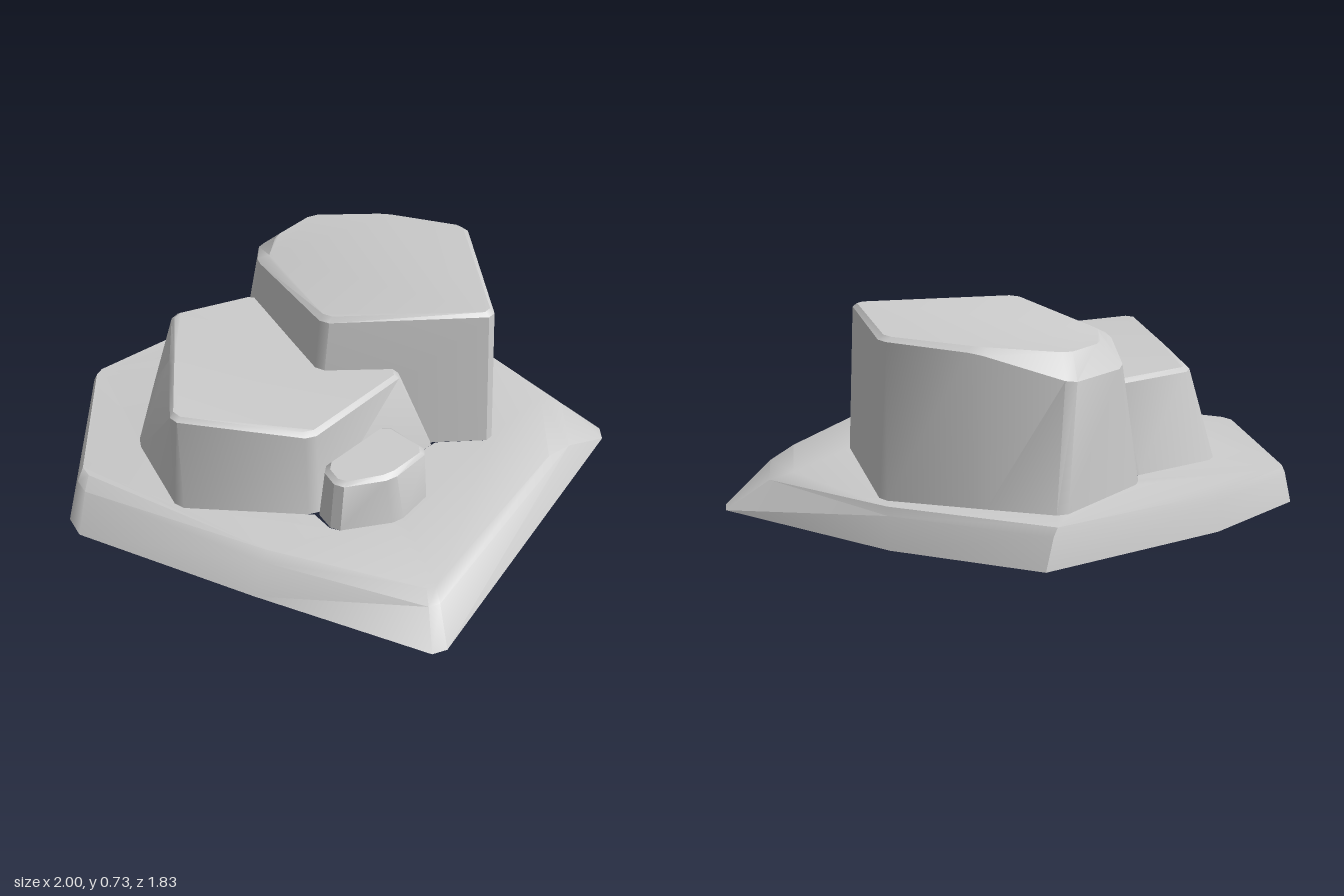
import * as THREE from 'three';
import { toCreasedNormals } from 'three/addons/utils/BufferGeometryUtils.js';

const GROUND = 0.15;
const WEAR = 0.025;
const material = new THREE.MeshStandardMaterial({ color: 0xcccccc, side: THREE.DoubleSide });

// Replace each corner of a ring of [x, y, z] points with a narrow edge; listed corners stay sharp.
function chamfer(ring, sharp = []) {
  const n = ring.length;
  return ring.flatMap((p, i) => {
    if (sharp.includes(i)) return [p];
    return [ring[(i + n - 1) % n], ring[(i + 1) % n]].map((q) => {
      const t = Math.min(0.3, WEAR / Math.hypot(q[0] - p[0], q[2] - p[2]));
      return p.map((v, k) => v + (q[k] - v) * t);
    });
  });
}

// Join equal rings (bottom first) with walls and close the top, around an optional hole.
function loft(name, rings, hole = []) {
  const n = rings[0].length, index = [];
  for (let r = 0; r < rings.length - 1; r++) {
    for (let i = 0; i < n; i++) {
      const a = r * n + i, b = r * n + (i + 1) % n;
      index.push(a, b, b + n, a, b + n, a + n);
    }
  }
  const flat = (ring) => ring.map((p) => new THREE.Vector2(p[0], -p[2]));
  const first = (rings.length - 1) * n;
  const holes = hole.length ? [flat(hole)] : [];
  for (const face of THREE.ShapeUtils.triangulateShape(flat(rings[rings.length - 1]), holes)) {
    index.push(...face.map((k) => k + first));
  }
  const geometry = new THREE.BufferGeometry();
  geometry.setAttribute('position', new THREE.Float32BufferAttribute([...rings, hole].flat(2), 3));
  geometry.setIndex(index);
  const mesh = new THREE.Mesh(toCreasedNormals(geometry, 0.6), material);
  mesh.name = name;
  return mesh;
}

const atGround = (points) => points.map(([x, z]) => [x, GROUND, z]);

// Shrink a shoulder ring slightly and lift it to form the lid.
function lidOf(shoulder) {
  const n = shoulder.length;
  const cx = shoulder.reduce((s, p) => s + p[0], 0) / n;
  const cz = shoulder.reduce((s, p) => s + p[2], 0) / n;
  return shoulder.map(([x, y, z]) => {
    const k = 1 - 0.02 / Math.hypot(x - cx, z - cz);
    return [cx + (x - cx) * k, y + 0.015, cz + (z - cz) * k];
  });
}

// A boulder: footprint, shoulder and lid, with worn edges.
function boulder(name, foot, shoulder, lid = lidOf(shoulder)) {
  return loft(name, [atGround(foot), shoulder, lid].map((ring) => chamfer(ring)));
}

export function createModel() {
  const group = new THREE.Group();
  group.name = 'rockFormation';

  // Tall boulder at the back
  const tallFoot = [[-0.59, -0.25], [-0.52, -0.16], [0.06, 0.11], [0.60, -0.36], [0.13, -0.85], [-0.22, -0.77], [-0.51, -0.70]];
  group.add(boulder('tallRock', tallFoot,
    [[-0.57, 0.60, -0.36], [-0.43, 0.67, -0.18], [0.07, 0.71, 0.05], [0.56, 0.715, -0.37],
      [0.13, 0.715, -0.835], [-0.20, 0.69, -0.75], [-0.51, 0.60, -0.64]],
    [[-0.48, 0.68, -0.36], [-0.39, 0.69, -0.20], [0.07, 0.73, 0.03], [0.54, 0.73, -0.37],
      [0.12, 0.73, -0.815], [-0.20, 0.71, -0.73], [-0.46, 0.685, -0.57]]));

  // Middle boulder at the front
  const midFoot = [[-0.72, 0.15], [-0.49, 0.50], [-0.12, 0.69], [0.31, 0.41], [0.43, -0.21], [-0.54, -0.185]];
  group.add(boulder('middleRock', midFoot,
    [[-0.63, 0.49, 0.12], [-0.40, 0.515, 0.39], [-0.14, 0.54, 0.675], [0.29, 0.495, 0.40],
      [0.325, 0.485, -0.12], [-0.46, 0.485, -0.19]]));

  // Small stone beside the middle boulder
  const smallFoot = [[0.30, 0.39], [0.42, 0.44], [0.58, 0.25], [0.58, 0.05], [0.34, 0.01]];
  group.add(boulder('smallRock', smallFoot,
    [[0.31, 0.345, 0.37], [0.42, 0.345, 0.42], [0.55, 0.345, 0.26], [0.565, 0.345, 0.05], [0.35, 0.345, 0.02]]));

  // Base slab, open underneath, with its top cut out below the rocks (sharp where two rocks meet)
  const hole = chamfer(atGround([...midFoot.slice(0, 4), ...smallFoot.slice(1, 4), [0.39, 0.01],
    midFoot[4], ...tallFoot.slice(3), tallFoot[0], midFoot[5]]), [3, 7, 8, 14]);
  const bottom = [[-1, 0.23], [-0.98, 0.28], [-0.52, 0.87], [-0.43, 0.91], [0.30, 0.76], [0.97, 0.60], [1, 0.55],
    [0.86, -0.80], [0.82, -0.85], [0.05, -0.92], [-0.52, -0.85], [-0.88, -0.21]].map(([x, z]) => [x, 0, z]);
  const top = [[-0.96, 0.13, 0.22], [-0.95, 0.13, 0.26], [-0.57, 0.14, 0.73], [-0.52, 0.14, 0.75], [0.28, 0.145, 0.66],
    [0.85, 0.145, 0.47], [0.87, 0.145, 0.44], [0.82, 0.14, -0.42], [0.60, 0.145, -0.72], [0.08, 0.145, -0.885],
    [-0.53, 0.14, -0.785], [-0.86, 0.135, -0.19]];
  const rim = bottom.map((p, i) => [
    THREE.MathUtils.lerp(p[0], top[i][0], 0.65), top[i][1] * 0.8, THREE.MathUtils.lerp(p[2], top[i][2], 0.65)]);
  group.add(loft('baseSlab', [bottom, rim, top], hole));

  return group;
}
